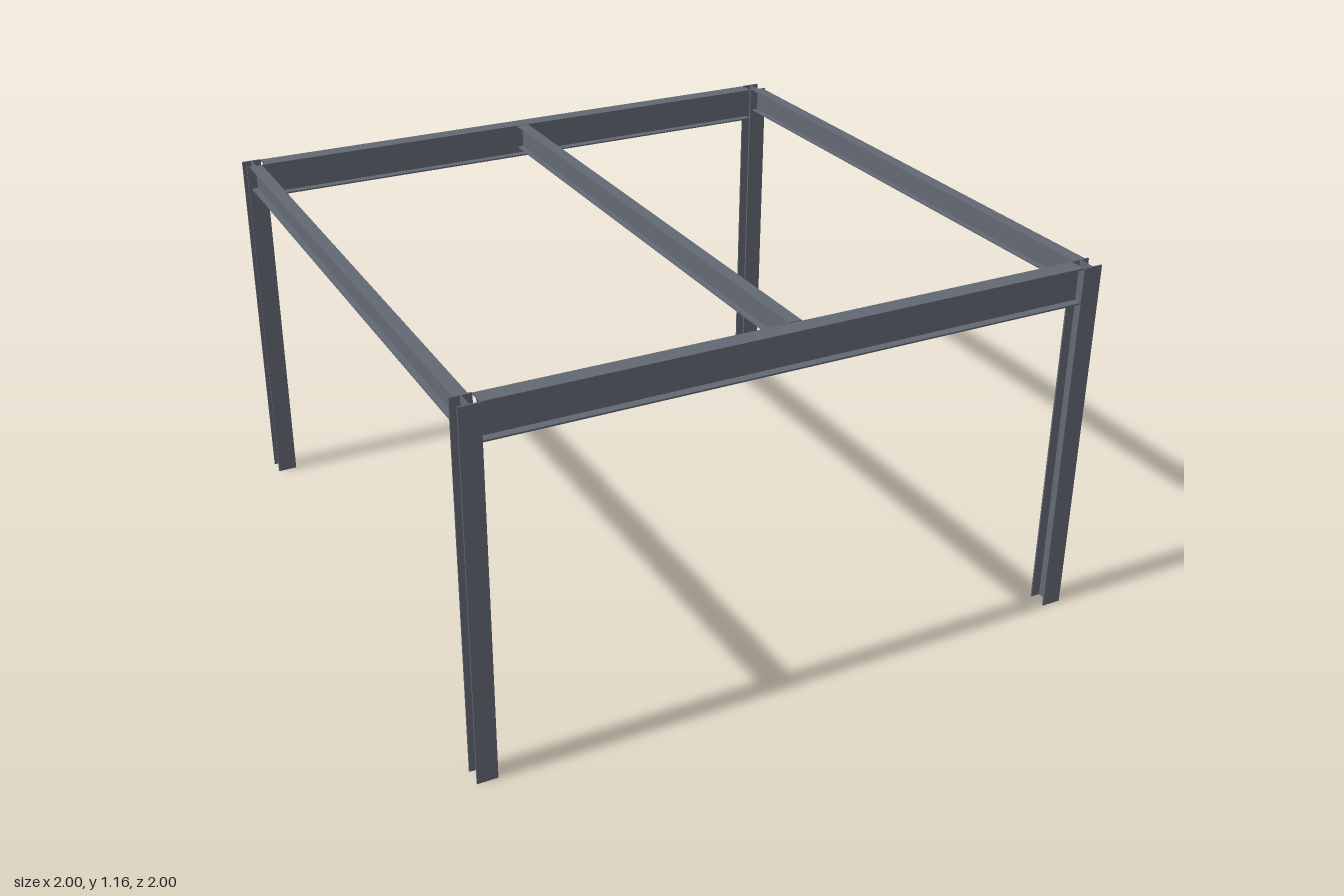
import * as THREE from 'three';

// H / I section centred on the origin, extruded along z and centred
function iSection(width, height, flange, web, length) {
  const w = width / 2, h = height / 2, t = web / 2, i = h - flange;
  const points = [
    [-w, -h], [w, -h], [w, -i], [t, -i], [t, i], [w, i],
    [w, h], [-w, h], [-w, i], [-t, i], [-t, -i], [-w, -i],
  ].map(([x, y]) => new THREE.Vector2(x, y));
  const geometry = new THREE.ExtrudeGeometry(new THREE.Shape(points), { depth: length, bevelEnabled: false });
  return geometry.translate(0, 0, -length / 2);
}

export function createModel() {
  const model = new THREE.Group();
  const steel = new THREE.MeshStandardMaterial({ color: 0x626873 });
  steel.name = 'steel grey';

  const top = 1.165;      // shared top level of columns and beams
  const column = 0.063;   // column section size
  const axis = 1 - column / 2;
  const span = 2 * (1 - column);

  const add = (name, geometry, x, y, z) => {
    const mesh = new THREE.Mesh(geometry, steel);
    mesh.name = name;
    mesh.position.set(x, y, z);
    model.add(mesh);
  };

  // Columns, flanges facing front and back
  const columnGeometry = iSection(column, column, 0.005, 0.0035, top)
    .rotateX(-Math.PI / 2).translate(0, top / 2, 0);
  for (const [sx, side] of [[1, 'Left'], [-1, 'Right']]) {
    for (const [sz, end] of [[1, 'front'], [-1, 'back']]) {
      add(`${end}${side}Column`, columnGeometry, sx * axis, 0, sz * axis);
    }
  }

  // Deep main beams across the front and back
  const mainHeight = 0.115;
  const mainGeometry = iSection(0.055, mainHeight, 0.005, 0.0035, span).rotateY(Math.PI / 2);
  add('frontBeam', mainGeometry, 0, top - mainHeight / 2, axis);
  add('backBeam', mainGeometry, 0, top - mainHeight / 2, -axis);

  // Shallower beams running front to back
  const crossHeight = 0.081;
  const crossGeometry = iSection(0.041, crossHeight, 0.004, 0.003, span);
  for (const [name, x] of [['leftBeam', axis], ['middleBeam', 0], ['rightBeam', -axis]]) {
    add(name, crossGeometry, x, top - crossHeight / 2, 0);
  }

  return model;
}
